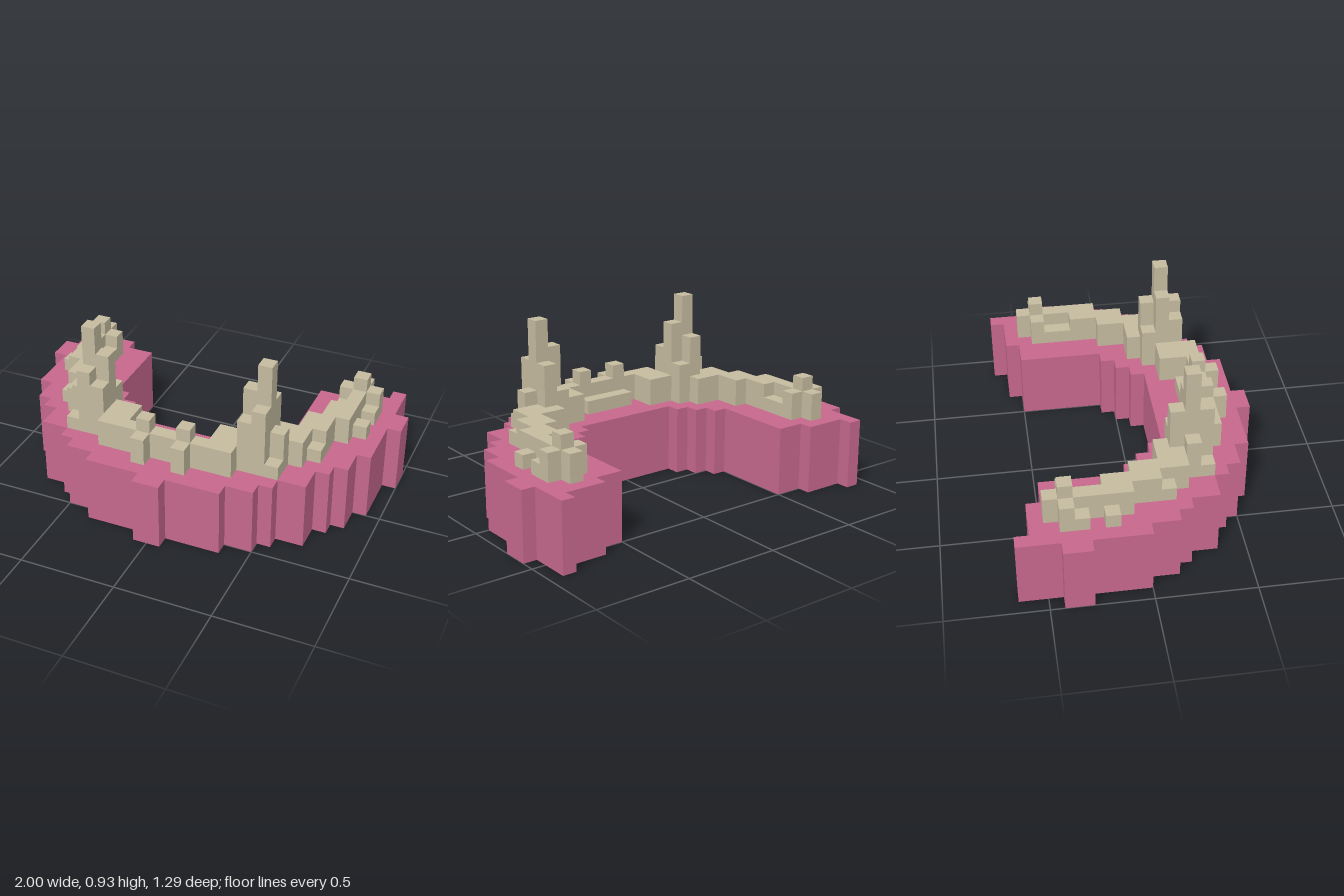
import * as THREE from 'three';

const U = 1 / 14; // one block
const GUM_HEIGHT = 5;

// Right half of the gum outline in blocks [x, z], from inner middle to outer middle
const HALF_OUTLINE = [
  [4, 2], [4, 1], [5, 1], [5, 0], [6, 0], [6, -1], [7, -1], [7, -7], [9, -7], [9, -8],
  [12, -8], [12, -9], [13, -9], [13, -6], [14, -6], [14, -4], [13, -4], [13, 0],
  [12, 0], [12, 2], [11, 2], [11, 3], [10, 3], [10, 5], [8, 5], [8, 6], [7, 6],
  [7, 7], [5, 7], [5, 8], [1, 8], [1, 9],
];

// Teeth on one side as blocks: [x, z, width, depth, top height]
const TEETH = {
  frontIncisor: [[0, 4, 2, 1, 6], [0, 5, 1, 1, 7], [1, 5, 1, 1, 8], [1, 6, 1, 1, 7]],
  sideIncisor: [[2, 5, 3, 1, 7], [3, 3, 2, 2, 7]],
  canine: [
    [6, 3, 1, 1, 13], [5, 3, 1, 1, 11], [6, 2, 1, 1, 10], [6, 4, 1, 1, 10],
    [5, 4, 1, 1, 9], [5, 2, 1, 1, 8], [7, 3, 1, 1, 8], [7, 4, 1, 1, 6],
  ],
  premolar: [[7, 2, 2, 1, 7], [6, 1, 3, 1, 7], [9, 1, 1, 1, 6], [8, -1, 2, 2, 7]],
  molar: [[9, -3, 2, 2, 7], [11, -3, 1, 1, 6], [10, -4, 1, 1, 7], [9, -4, 1, 1, 6]],
  rearMolar: [
    [9, -5, 1, 1, 6], [10, -5, 1, 1, 7], [11, -5, 1, 1, 6],
    [9, -6, 1, 1, 7], [10, -6, 1, 1, 8], [11, -6, 1, 1, 7], [10, -7, 1, 1, 7],
  ],
};

function buildGum(material) {
  const mirrored = HALF_OUTLINE.map(([x, z]) => [-x, z]).reverse();
  const points = [...HALF_OUTLINE, ...mirrored].map(([x, z]) => new THREE.Vector2(x * U, -z * U));
  const geometry = new THREE.ExtrudeGeometry(new THREE.Shape(points), {
    depth: GUM_HEIGHT * U, bevelEnabled: false,
  });
  geometry.rotateX(-Math.PI / 2);
  const gum = new THREE.Mesh(geometry, material);
  gum.name = 'gum';
  return gum;
}

function buildTooth(name, blocks, side, material) {
  const tooth = new THREE.Group();
  tooth.name = name;
  for (const [x, z, w, d, top] of blocks) {
    const h = top - GUM_HEIGHT;
    const block = new THREE.Mesh(new THREE.BoxGeometry(w * U, h * U, d * U), material);
    block.position.set(side * (x + w / 2) * U, (GUM_HEIGHT + h / 2) * U, (z + d / 2) * U);
    block.name = 'toothBlock';
    tooth.add(block);
  }
  return tooth;
}

export function createModel() {
  const gumPink = new THREE.MeshStandardMaterial({ color: 0xc6688c });
  gumPink.name = 'gumPink';
  const toothIvory = new THREE.MeshStandardMaterial({ color: 0xc4ba9f });
  toothIvory.name = 'toothIvory';

  const model = new THREE.Group();
  model.name = 'lowerJaw';
  model.add(buildGum(gumPink));

  // Teeth mirrored on both sides
  for (const [prefix, side] of [['left', 1], ['right', -1]]) {
    for (const [name, blocks] of Object.entries(TEETH)) {
      const label = prefix + name[0].toUpperCase() + name.slice(1);
      model.add(buildTooth(label, blocks, side, toothIvory));
    }
  }
  return model;
}
